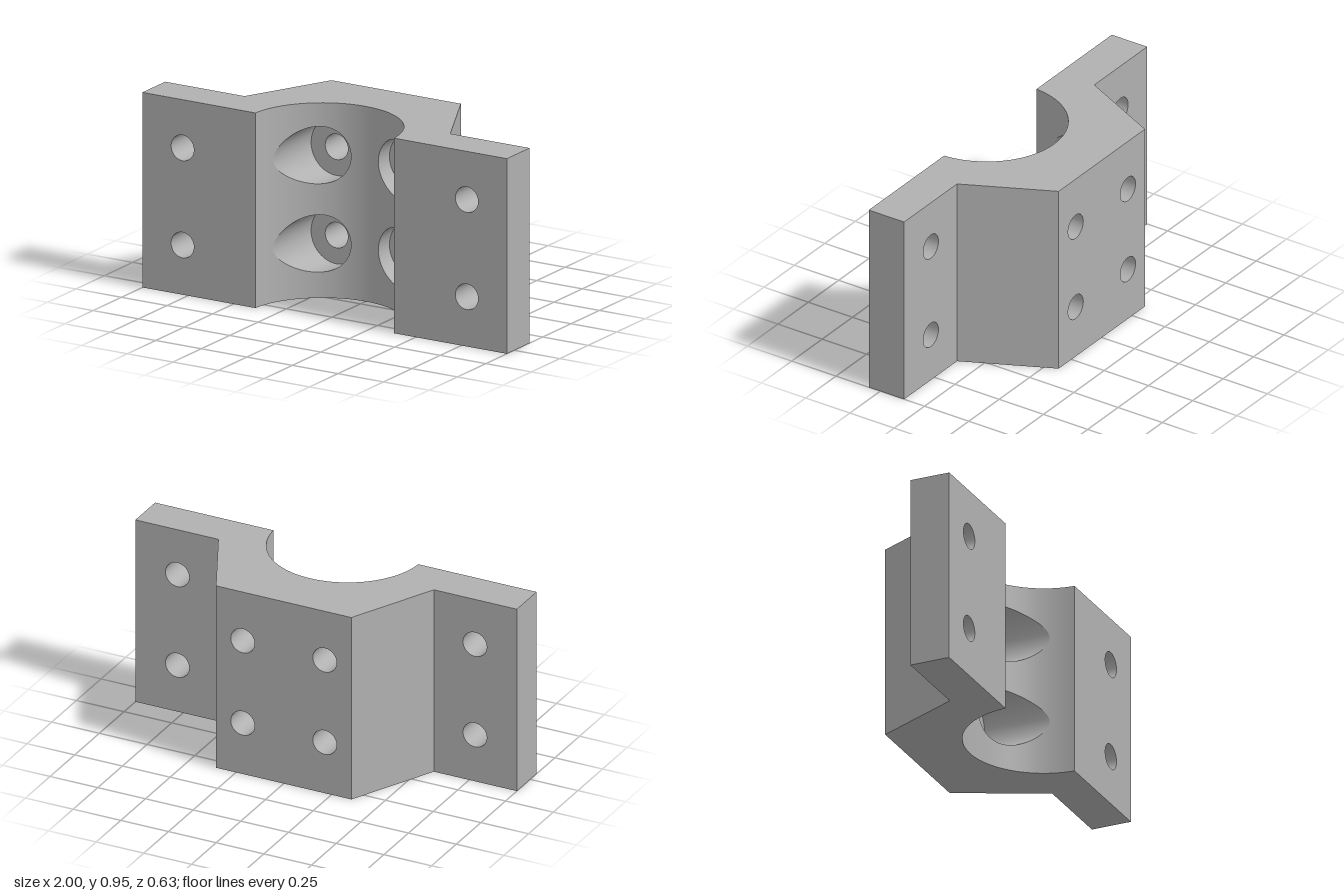
import * as THREE from 'three';

const H = 0.95, FRONT = 0.315, FLANGE_BACK = 0.115, BACK = -0.315, SEAT = -0.135;
const R = 0.38, BORE_Z = 0.335, BORE_X = Math.sqrt(R * R - (BORE_Z - FRONT) ** 2);
const HOLE_R = 0.0625, SINK_R = 0.14, SEGS = 48;
const FLANGE_X = 0.78, FLANGE_Y = [0.242, 0.715];
const SINK_X = 0.215, SINK_Y = [0.265, 0.695];

const boreZ = x => BORE_Z - Math.sqrt(Math.max(0, R * R - x * x));

// Strip of quads between two rows; each column is [lower, upper, normal]
function strip(columns) {
  const pos = [], nor = [], idx = [];
  columns.forEach(([a, b, n], i) => {
    pos.push(...a, ...b);
    nor.push(...n, ...n);
    if (i) {
      const k = 2 * i;
      idx.push(k - 2, k, k + 1, k - 2, k + 1, k - 1);
    }
  });
  const g = new THREE.BufferGeometry();
  g.setAttribute('position', new THREE.Float32BufferAttribute(pos, 3));
  g.setAttribute('normal', new THREE.Float32BufferAttribute(nor, 3));
  g.setIndex(idx);
  return g;
}

// Flat upright wall from (x0, z0) to (x1, z1)
function wall(x0, z0, x1, z1) {
  const l = Math.hypot(x1 - x0, z1 - z0);
  const n = [-(z1 - z0) / l, 0, (x1 - x0) / l];
  return strip([[[x0, 0, z0], [x0, H, z0], n], [[x1, 0, z1], [x1, H, z1], n]]);
}

// Upright rectangle at depth z, pierced by round holes [x, y]; faces back if asked
function face(x0, x1, z, holes, back = false) {
  const s = back ? -1 : 1;
  const shape = new THREE.Shape([[x0, 0], [x1, 0], [x1, H], [x0, H]].map(([x, y]) => new THREE.Vector2(s * x, y)));
  for (const [x, y] of holes) shape.holes.push(new THREE.Path().absarc(s * x, y, HOLE_R, 0, Math.PI * 2, true));
  const g = new THREE.ShapeGeometry(shape, SEGS / 2);
  if (back) g.rotateY(Math.PI);
  return g.translate(0, 0, z);
}

// Inner wall of a round hole running along z
function holeWall(cx, cy, r, frontZ, backZ) {
  const cols = [];
  for (let i = 0; i <= SEGS; i++) {
    const t = (i / SEGS) * Math.PI * 2, c = Math.cos(t), s = Math.sin(t);
    const x = cx + r * c, y = cy + r * s;
    cols.push([[x, y, frontZ(x)], [x, y, backZ], [-c, -s, 0]]);
  }
  return strip(cols);
}

// x stations across the bore, matched to the counterbore edges
function boreStations() {
  const half = [0, 0.0375];
  for (let i = 0; i <= SEGS / 2; i++) half.push(SINK_X - SINK_R * Math.cos((i / SEGS) * Math.PI * 2));
  const a0 = Math.asin((SINK_X + SINK_R) / R), a1 = Math.asin(BORE_X / R);
  for (let i = 1; i <= 8; i++) half.push(R * Math.sin(a0 + ((a1 - a0) * i) / 8));
  return [...half.slice(1).reverse().map(x => -x), ...half];
}

export function createModel() {
  const group = new THREE.Group();
  const steel = new THREE.MeshStandardMaterial({ color: 0xb0b0b0, side: THREE.DoubleSide });
  steel.name = 'plain grey';
  const add = (name, geometry) => {
    const m = new THREE.Mesh(geometry, steel);
    m.name = name;
    group.add(m);
  };

  const xs = boreStations();

  // Top and bottom ends share one outline
  const outline = [[-1, FRONT], ...xs.map(x => [x, boreZ(x)]), [1, FRONT], [1, FLANGE_BACK], [0.565, FLANGE_BACK],
    [0.355, BACK], [-0.355, BACK], [-0.565, FLANGE_BACK], [-1, FLANGE_BACK]];
  const endShape = up => new THREE.ShapeGeometry(
    new THREE.Shape(outline.map(([x, z]) => new THREE.Vector2(x, up * -z))));
  add('topEnd', endShape(1).rotateX(-Math.PI / 2).translate(0, H, 0));
  add('bottomEnd', endShape(-1).rotateX(Math.PI / 2));

  // Half-round bore in three bands that part around the counterbores
  const opening = x => Math.sqrt(Math.max(0, SINK_R ** 2 - (Math.abs(x) - SINK_X) ** 2));
  const bands = [
    [() => 0, h => SINK_Y[0] - h],
    [h => SINK_Y[0] + h, h => SINK_Y[1] - h],
    [h => SINK_Y[1] + h, () => H],
  ];
  for (const [lo, hi] of bands) {
    add('bore', strip(xs.map(x => {
      const h = opening(x), z = boreZ(x);
      return [[x, lo(h), z], [x, hi(h), z], [-x / R, 0, (BORE_Z - z) / R]];
    })));
  }

  // Flanges, sloping sides and holes on each side
  const sinks = [];
  for (const s of [-1, 1]) {
    const holes = FLANGE_Y.map(y => [s * FLANGE_X, y]);
    const span = a => (s > 0 ? [a, 1] : [-1, -a]);
    add('flangeFront', face(...span(BORE_X), FRONT, holes));
    add('flangeBack', face(...span(0.565), FLANGE_BACK, holes, true));
    add('flangeEnd', wall(s, s * FRONT > 0 ? FRONT : FLANGE_BACK, s, s > 0 ? FLANGE_BACK : FRONT));
    add('slopingSide', s > 0 ? wall(0.565, FLANGE_BACK, 0.355, BACK) : wall(-0.355, BACK, -0.565, FLANGE_BACK));
    for (const [x, y] of holes) add('flangeHole', holeWall(x, y, HOLE_R, () => FRONT, FLANGE_BACK));

    // Counterbored bolt holes
    for (const y of SINK_Y) {
      const x = s * SINK_X;
      sinks.push([x, y]);
      add('counterbore', holeWall(x, y, SINK_R, boreZ, SEAT));
      add('counterboreSeat', new THREE.RingGeometry(HOLE_R, SINK_R, SEGS).translate(x, y, SEAT));
      add('boltHole', holeWall(x, y, HOLE_R, () => SEAT, BACK));
    }
  }

  add('backFace', face(-0.355, 0.355, BACK, sinks, true));
  return group;
}
